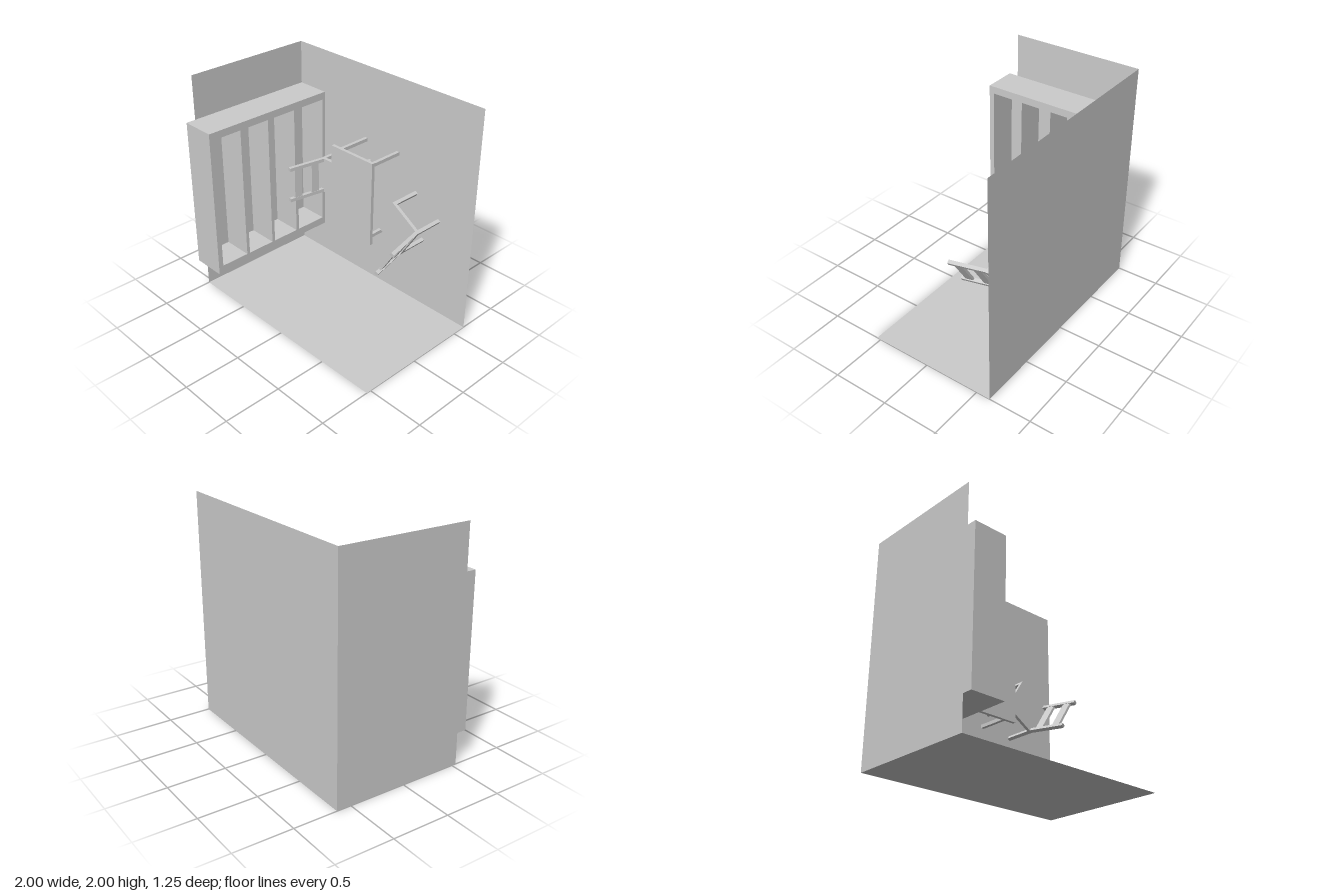
import * as THREE from 'three';

const WALL_Z = -0.625; // plane the furniture stands on
const material = new THREE.MeshStandardMaterial({ color: 0xcccccc, flatShading: true });
const thin = new THREE.MeshStandardMaterial({ color: 0xcccccc, flatShading: true, side: THREE.DoubleSide });

// Box given by its min and max on each axis
function box(parent, name, [x0, x1], [y0, y1], [z0, z1]) {
  const mesh = new THREE.Mesh(new THREE.BoxGeometry(x1 - x0, y1 - y0, z1 - z0), material);
  mesh.position.set((x0 + x1) / 2, (y0 + y1) / 2, (z0 + z1) / 2);
  mesh.name = name;
  parent.add(mesh);
  return mesh;
}

function createRoom() {
  const room = new THREE.Group();
  room.name = 'room';
  const depth = 0.54 - WALL_Z, midZ = (0.54 + WALL_Z) / 2;
  const panel = (name, w, h, pos, rx, ry) => {
    const mesh = new THREE.Mesh(new THREE.PlaneGeometry(w, h), thin);
    mesh.name = name;
    mesh.position.set(...pos);
    mesh.rotation.set(rx, ry, 0);
    room.add(mesh);
  };
  panel('backWall', 2, 2, [0, 1, WALL_Z], 0, 0);
  panel('sideWall', depth, 2, [-1, 1, midZ], 0, Math.PI / 2);
  panel('lowerWall', 2, depth, [0, 0, midZ], -Math.PI / 2, 0);
  return room;
}

// Bookcase with four open bays facing +x
function createBookcase() {
  const bookcase = new THREE.Group();
  bookcase.name = 'bookcase';
  const x = [-1, -0.7], y = [0.35, 1.55];
  box(bookcase, 'lowerSide', x, [0.28, 0.35], [WALL_Z, 0.625]);
  box(bookcase, 'upperSide', x, [1.55, 1.615], [WALL_Z, 0.625]);
  box(bookcase, 'backPanel', [-1, -0.97], y, [WALL_Z, 0.625]);
  const shelves = [[WALL_Z, -0.595], [-0.295, -0.265], [-0.005, 0.025], [0.285, 0.315], [0.58, 0.625]];
  for (const z of shelves) box(bookcase, 'shelf', [-0.97, -0.7], y, z);
  return bookcase;
}

function createTable() {
  const table = new THREE.Group();
  table.name = 'table';
  box(table, 'tableTop', [-0.235, 0.23], [0.62, 1.385], [-0.295, -0.265]);
  for (const x of [-0.2, 0.165])
    for (const y of [0.655, 1.325])
      box(table, 'tableLeg', [x, x + 0.03], [y, y + 0.03], [WALL_Z, -0.295]);
  return table;
}

// Bar with a (depth, height) profile, extruded across the chair and centred on y
function profileBar(parent, name, points, width, y) {
  const shape = new THREE.Shape(points.map(p => new THREE.Vector2(...p)));
  const geometry = new THREE.ExtrudeGeometry(shape, { depth: width, bevelEnabled: false });
  geometry.translate(0, 0, -width / 2).rotateX(Math.PI / 2);
  const mesh = new THREE.Mesh(geometry, material);
  mesh.name = name;
  mesh.position.y = y;
  parent.add(mesh);
}

// Chair stands along +z, its backrest leans toward local +x
function createChair(name, x, y, angle) {
  const chair = new THREE.Group();
  chair.name = name;
  const inner = h => 0.135 + (h - 0.28) * 0.176; // inner face of the leaning posts
  box(chair, 'seat', [-0.165, 0.165], [-0.1625, 0.1625], [0.25, 0.28]);
  for (const side of [-1, 1]) {
    const legY = side * 0.1475;
    box(chair, 'frontLeg', [-0.165, -0.135], [legY - 0.015, legY + 0.015], [0, 0.25]);
    profileBar(chair, 'backPost', [[0.135, 0], [0.165, 0], [0.165, 0.28],
      [0.225, 0.605], [inner(0.612), 0.612], [0.135, 0.28]], 0.03, legY);
  }
  // Two slats between the posts
  for (const [h0, h1] of [[0.33, 0.4], [0.498, 0.567]]) {
    const a = inner(h0) + 0.003, b = inner(h1) + 0.003;
    profileBar(chair, 'backSlat', [[a, h0], [a + 0.02, h0], [b + 0.02, h1], [b, h1]], 0.265, 0);
  }
  chair.position.set(x, y, WALL_Z);
  chair.rotation.z = angle;
  return chair;
}

export function createModel() {
  const model = new THREE.Group();
  model.name = 'furnishedRoom';
  model.add(
    createRoom(),
    createBookcase(),
    createTable(),
    createChair('chairAtTable', -0.28, 1.0025, Math.PI),
    createChair('turnedChair', 0.444, 0.845, THREE.MathUtils.degToRad(-32)),
  );
  return model;
}
